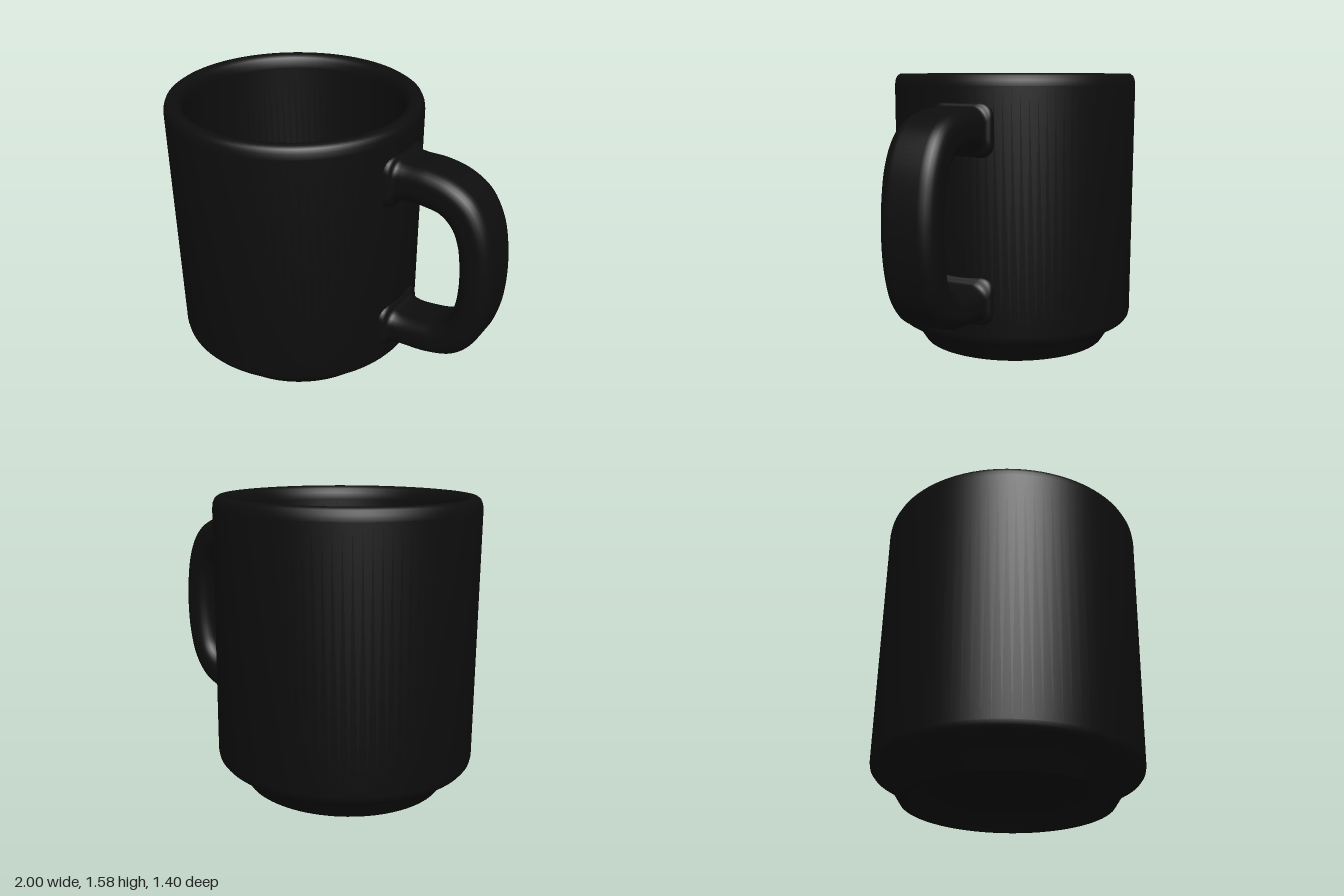
import * as THREE from 'three';
import { toCreasedNormals } from 'three/addons/utils/BufferGeometryUtils.js';

const glaze = new THREE.MeshStandardMaterial({ color: 0x0d0d0d });
glaze.name = 'blackGlaze';

// Cup profile: underside, foot, outer wall, rim, inner wall, floor
const cupProfile = [
  [0, 0.09], [0.38, 0.09], [0.44, 0.08], [0.48, 0.05], [0.515, 0], [0.55, 0],
  [0.603, 0.082], [0.616, 0.1], [0.632, 0.113], [0.672, 0.128], [0.692, 0.138], [0.705, 0.155],
  [0.71, 0.18], [0.71, 1.51], [0.706, 1.54], [0.696, 1.562], [0.68, 1.573], [0.66, 1.575],
  [0.64, 1.571], [0.622, 1.558], [0.61, 1.535], [0.605, 1.5], [0.605, 0.26],
  [0.595, 0.21], [0.565, 0.175], [0.52, 0.16], [0, 0.16],
];

// Handle stations: outer x, y, inner x, y, half width; the ends flare into the wall
const handleStations = [
  [0.36, 1.43, 0.36, 1.13, 0.19], [0.415, 1.425, 0.415, 1.145, 0.18],
  [0.435, 1.405, 0.44, 1.18, 0.157], [0.48, 1.4, 0.48, 1.192, 0.15],
  [0.6, 1.4, 0.6, 1.192, 0.15], [0.74, 1.372, 0.69, 1.175, 0.15],
  [0.86, 1.3, 0.755, 1.12, 0.15], [0.945, 1.165, 0.793, 1.03, 0.15],
  [0.988, 0.99, 0.81, 0.92, 0.15], [1.0, 0.81, 0.815, 0.8, 0.15],
  [0.983, 0.63, 0.803, 0.67, 0.15], [0.93, 0.47, 0.77, 0.565, 0.15],
  [0.83, 0.355, 0.7, 0.5, 0.15], [0.68, 0.298, 0.6, 0.473, 0.15],
  [0.48, 0.274, 0.48, 0.463, 0.15], [0.435, 0.268, 0.44, 0.473, 0.157],
  [0.415, 0.25, 0.415, 0.505, 0.18], [0.36, 0.245, 0.36, 0.52, 0.19],
];

// Sweep a rounded rectangle between the outer and inner edge curves
function handleGeometry(steps = 100, cornerSteps = 6, radius = 0.075) {
  const outer = new THREE.CatmullRomCurve3(handleStations.map(s => new THREE.Vector3(s[0], s[1], s[4])));
  const inner = new THREE.CatmullRomCurve3(handleStations.map(s => new THREE.Vector3(s[2], s[3], s[4])));
  const positions = [], indices = [];
  const ring = 4 * (cornerSteps + 1);
  const signs = [[1, 1], [-1, 1], [-1, -1], [1, -1]];
  for (let i = 0; i <= steps; i++) {
    const o = outer.getPoint(i / steps), n = inner.getPoint(i / steps);
    const cx = (o.x + n.x) / 2, cy = (o.y + n.y) / 2;
    const half = Math.hypot(o.x - n.x, o.y - n.y) / 2;
    const ux = (o.x - n.x) / (2 * half), uy = (o.y - n.y) / (2 * half);
    for (let c = 0; c < 4; c++) {
      for (let k = 0; k <= cornerSteps; k++) {
        const a = (c + k / cornerSteps) * Math.PI / 2;
        const u = signs[c][0] * (half - radius) + radius * Math.cos(a);
        const z = signs[c][1] * (o.z - radius) + radius * Math.sin(a);
        positions.push(cx + ux * u, cy + uy * u, z);
      }
    }
  }
  for (let i = 0; i < steps; i++) {
    for (let j = 0; j < ring; j++) {
      const a = i * ring + j, b = i * ring + (j + 1) % ring;
      indices.push(a, b, a + ring, b, b + ring, a + ring);
    }
  }
  const geometry = new THREE.BufferGeometry();
  geometry.setAttribute('position', new THREE.Float32BufferAttribute(positions, 3));
  geometry.setIndex(indices);
  geometry.computeVertexNormals();
  return geometry;
}

export function createModel() {
  const mug = new THREE.Group();
  mug.name = 'mug';

  // Hollow cup with stepped foot and recessed underside
  const lathe = new THREE.LatheGeometry(cupProfile.map(([r, y]) => new THREE.Vector2(r, y)), 96);
  const cup = new THREE.Mesh(toCreasedNormals(lathe, 0.8), glaze);
  cup.name = 'cup';
  cup.position.x = -0.29;
  cup.scale.z = 0.987;
  mug.add(cup);

  // Handle, its ends buried in the cup wall
  const handle = new THREE.Mesh(handleGeometry(), glaze);
  handle.name = 'handle';
  mug.add(handle);

  return mug;
}
